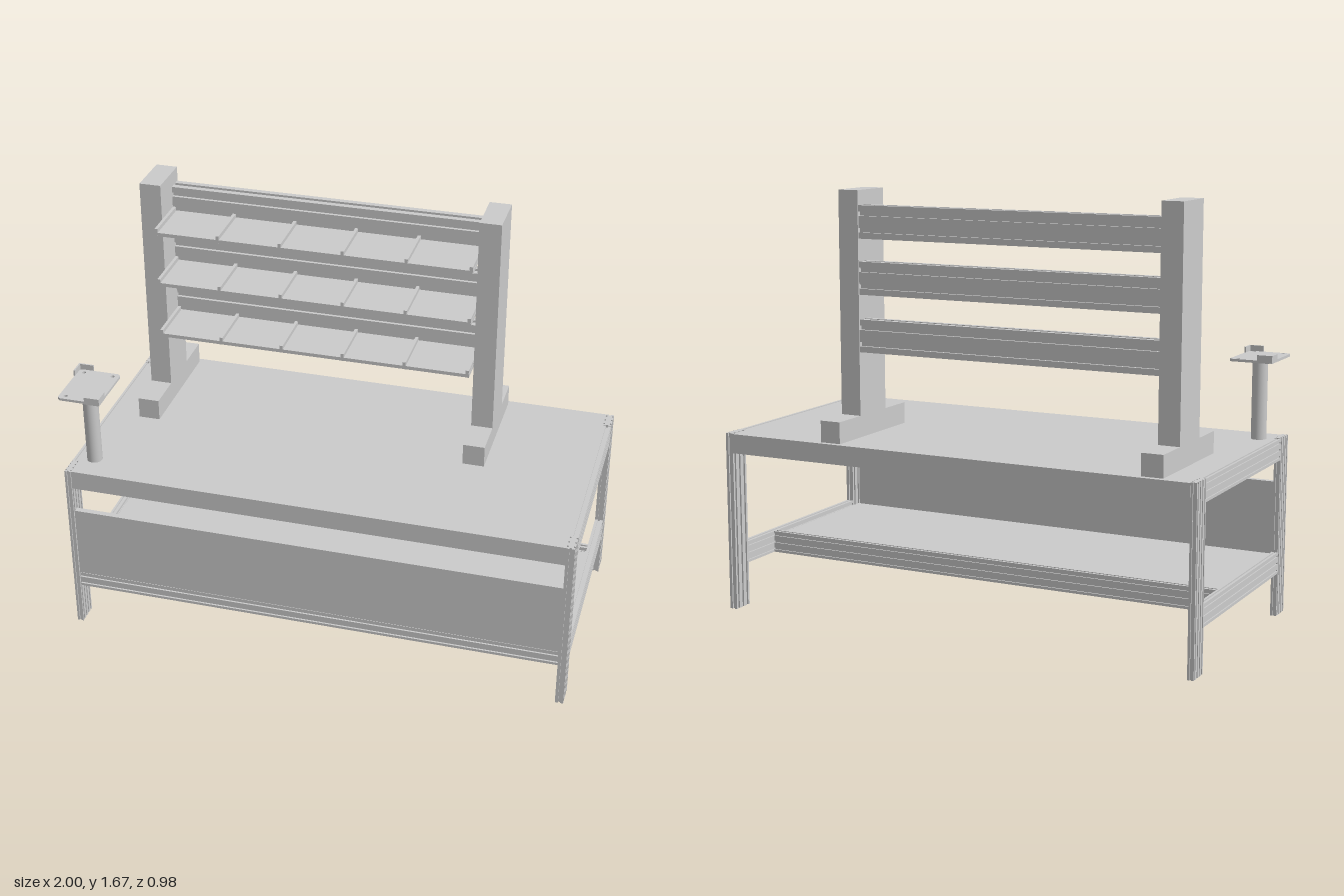
import * as THREE from 'three';

const material = new THREE.MeshStandardMaterial({ color: 0xcccccc, flatShading: true });

export function createModel() {
  const model = new THREE.Group();

  const add = (name, geometry, x, y, z, parent = model) => {
    const mesh = new THREE.Mesh(geometry, material);
    mesh.name = name;
    mesh.position.set(x, y, z);
    parent.add(mesh);
    return mesh;
  };

  // Box given by its extents on each axis
  const box = (name, [x0, x1], [y0, y1], [z0, z1], parent) =>
    add(name, new THREE.BoxGeometry(x1 - x0, y1 - y0, z1 - z0),
      (x0 + x1) / 2, (y0 + y1) / 2, (z0 + z1) / 2, parent);

  // Slotted extrusion section: one slot per square module on every side
  const slottedShape = (w, h) => {
    const unit = Math.min(w, h), slot = unit * 0.28, depth = unit * 0.2;
    const points = [];
    const sides = [[w, h, 0], [h, w, 1], [w, h, 2], [h, w, 3]];
    for (const [len, across, turn] of sides) {
      const n = Math.max(1, Math.round(len / unit));
      const local = [[-len / 2, -across / 2]];
      for (let i = 0; i < n; i++) {
        const c = -len / 2 + (i + 0.5) * len / n;
        local.push([c - slot / 2, -across / 2], [c - slot / 2, -across / 2 + depth],
          [c + slot / 2, -across / 2 + depth], [c + slot / 2, -across / 2]);
      }
      for (const [a, b] of local)
        points.push(new THREE.Vector2(a, b).rotateAround(new THREE.Vector2(), turn * Math.PI / 2));
    }
    return new THREE.Shape(points);
  };

  // Slotted bar filling the given extents, running along one axis
  const bar = (name, axis, [x0, x1], [y0, y1], [z0, z1], parent) => {
    const dx = x1 - x0, dy = y1 - y0, dz = z1 - z0;
    const [w, h, len] = { x: [dz, dy, dx], y: [dx, dz, dy], z: [dx, dy, dz] }[axis];
    const g = new THREE.ExtrudeGeometry(slottedShape(w, h), { depth: len, bevelEnabled: false });
    g.translate(0, 0, -len / 2);
    if (axis === 'x') g.rotateY(Math.PI / 2);
    if (axis === 'y') g.rotateX(-Math.PI / 2);
    return add(name, g, (x0 + x1) / 2, (y0 + y1) / 2, (z0 + z1) / 2, parent);
  };

  // Table frame: legs and end rails
  for (const [side, xs] of [['right', [-0.99, -0.965]], ['left', [0.965, 0.997]]]) {
    bar(side + 'FrontLeg', 'y', xs, [0, 0.717], [0.4, 0.488]);
    bar(side + 'BackLeg', 'y', xs, [0, 0.717], [-0.488, -0.4]);
    bar(side + 'UpperRail', 'z', xs, [0.63, 0.715], [-0.4, 0.4]);
    bar(side + 'LowerRail', 'z', xs, [0.173, 0.26], [-0.4, 0.4]);
  }

  // Worktop, front panel and lower shelf
  const span = [-0.965, 0.965];
  box('worktop', span, [0.638, 0.715], [-0.49, 0.483]);
  box('frontPanel', span, [0.235, 0.53], [0.455, 0.478]);
  bar('lowerFrontRail', 'x', span, [0.173, 0.235], [0.445, 0.48]);
  bar('lowerBackRail', 'x', span, [0.173, 0.26], [-0.215, -0.185]);
  box('lowerShelf', span, [0.18, 0.24], [-0.185, 0.445]);

  // Uprights on long feet
  for (const [side, xs] of [['right', [-0.855, -0.77]], ['left', [0.48, 0.565]]]) {
    box(side + 'Foot', xs, [0.715, 0.8], [-0.468, 0.025]);
    box(side + 'Upright', xs, [0.8, 1.675], [-0.315, -0.125]);
  }

  // Three cross beams, each with a divided shelf
  for (const y of [1.05, 1.274, 1.49]) {
    const tier = new THREE.Group();
    tier.name = 'shelfTier';
    model.add(tier);
    bar('crossBeam', 'x', [-0.77, 0.48], [y, y + 0.128], [-0.31, -0.248], tier);
    box('shelfPlate', [-0.77, 0.48], [y + 0.014, y + 0.028], [-0.248, -0.038], tier);
    for (let i = 0; i < 6; i++) {
      const x = -0.763 + i * 0.2472;
      box('shelfDivider', [x - 0.006, x + 0.006], [y + 0.014, y + 0.044], [-0.248, -0.037], tier);
    }
  }

  // Stand with a drilled plate and two corner guides
  const stand = new THREE.Group();
  stand.name = 'stand';
  model.add(stand);
  const post = add('standPost', new THREE.CylinderGeometry(0.03, 0.03, 0.316, 32), -0.91, 0.873, 0.37, stand);
  post.material = new THREE.MeshStandardMaterial({ color: 0xcccccc });

  const w = 0.085, d = 0.114, cut = 0.01;
  const plate = new THREE.Shape([
    [-w + cut, -d], [w - cut, -d], [w, -d + cut], [w, d - cut],
    [w - cut, d], [-w + cut, d], [-w, d - cut], [-w, -d + cut],
  ].map(([x, y]) => new THREE.Vector2(x, y)));
  for (const sx of [-1, 1]) for (const sy of [-1, 1]) {
    const hole = new THREE.Path();
    hole.absarc(sx * 0.059, sy * 0.092, 0.008, 0, Math.PI * 2, true);
    plate.holes.push(hole);
  }
  const plateGeometry = new THREE.ExtrudeGeometry(plate, { depth: 0.01, bevelEnabled: false, curveSegments: 8 });
  plateGeometry.rotateX(-Math.PI / 2);
  add('standPlate', plateGeometry, -0.911, 1.03, 0.366, stand);
  add('platePin', new THREE.CylinderGeometry(0.005, 0.005, 0.026, 10), -0.915, 1.025, 0.428, stand);

  const guideY = [1.033, 1.062];
  box('backGuideSide', [-1, -0.994], guideY, [0.245, 0.305], stand);
  box('backGuideEnd', [-0.994, -0.94], guideY, [0.245, 0.251], stand);
  box('frontGuideSide', [-0.829, -0.823], guideY, [0.428, 0.488], stand);
  box('frontGuideEnd', [-0.883, -0.829], guideY, [0.482, 0.488], stand);

  return model;
}
